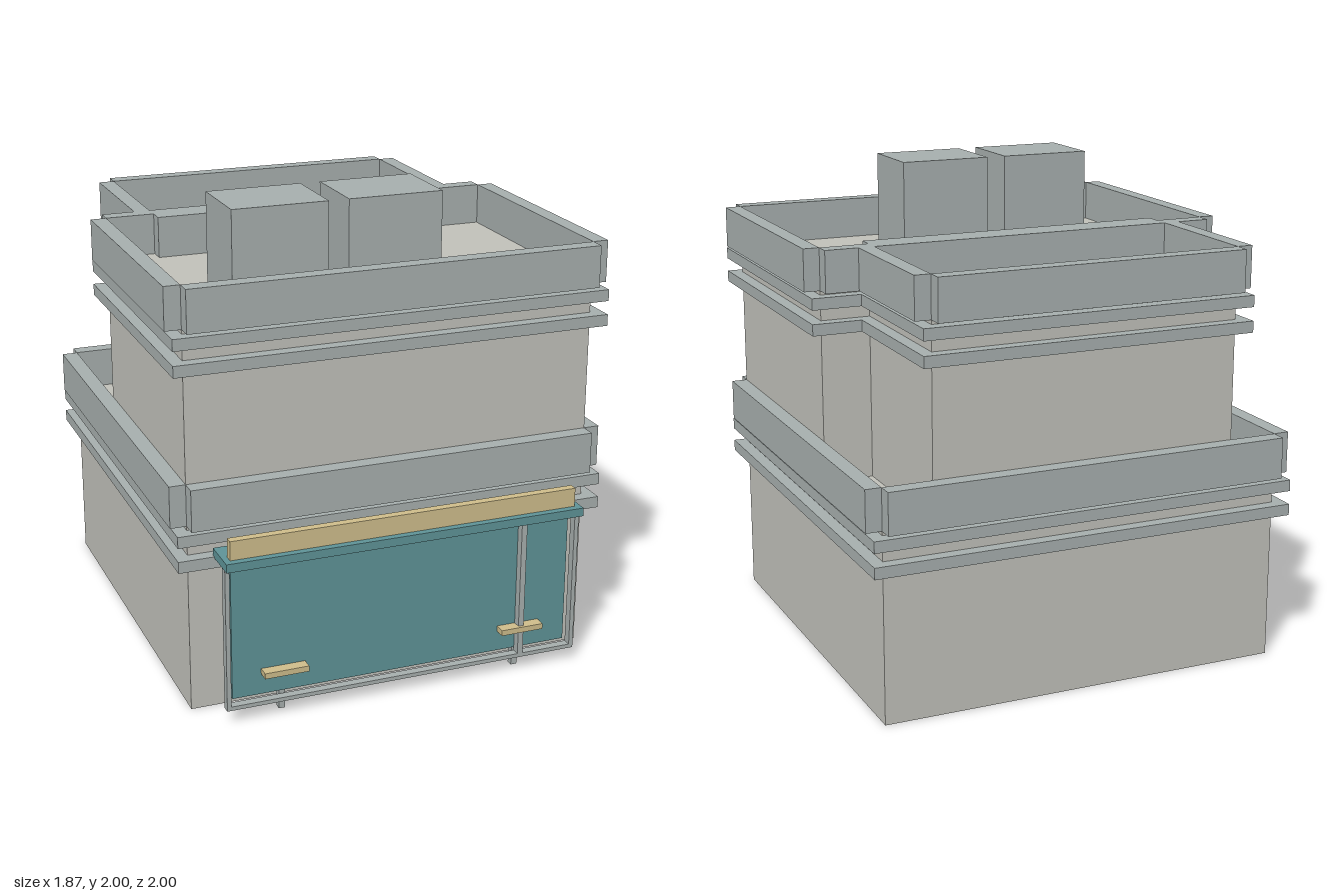
import * as THREE from 'three';

const material = (color) => new THREE.MeshStandardMaterial({ color, flatShading: true });

export function createModel() {
  const model = new THREE.Group();
  const wall = material(0xc2c2bb);
  const trim = material(0xa8b0af);
  const teal = material(0x5f9498);
  const wood = material(0xd0be8c);

  // Box given by its extents on each axis
  function block(parent, name, mat, [x0, x1], [y0, y1], [z0, z1]) {
    const mesh = new THREE.Mesh(new THREE.BoxGeometry(x1 - x0, y1 - y0, z1 - z0), mat);
    mesh.position.set((x0 + x1) / 2, (y0 + y1) / 2, (z0 + z1) / 2);
    mesh.name = name;
    parent.add(mesh);
  }

  // Building block with two ledges and a parapet that leaves its corners open
  function storey(name, w, z0, z1, base, roof) {
    const group = new THREE.Group();
    group.name = name;
    model.add(group);
    const ledge = 0.053, rim = 0.067;
    block(group, 'walls', wall, [-w, w], [base, roof], [z0, z1]);
    for (const drop of [0.17, 0.065]) {
      block(group, 'ledge', trim, [-w - ledge, w + ledge],
        [roof - drop, roof - drop + 0.048], [z0 - ledge, z1 + ledge]);
    }
    const height = [roof, roof + 0.175];
    block(group, 'frontParapet', trim, [-w, w], height, [z1, z1 + rim]);
    block(group, 'backParapet', trim, [-w, w], height, [z0 - rim, z0]);
    block(group, 'leftParapet', trim, [w, w + rim], height, [z0, z1]);
    block(group, 'rightParapet', trim, [-w - rim, -w], height, [z0, z1]);
  }
  storey('groundFloor', 0.866, -0.933, 0.798, 0, 0.8);
  storey('upperFloor', 0.866, -0.277, 0.798, 0.8, 1.6);
  storey('upperRearWing', 0.658, -0.933, -0.277, 0.8, 1.6);

  // Rooftop units
  for (const x of [-0.61, -0.128]) {
    block(model, 'roofUnit', trim, [x, x + 0.398], [1.6, 2], [0.316, 0.636]);
  }

  // Shopfront: glass, surrounding frame, door post, canopy and sign
  const shop = new THREE.Group();
  shop.name = 'shopfront';
  model.add(shop);
  const depth = [0.936, 0.972];
  block(shop, 'glass', teal, [-0.737, 0.732], [0.092, 0.657], [0.92, 0.937]);
  block(shop, 'frameRight', trim, [-0.77, -0.752], [0.06, 0.672], depth);
  block(shop, 'frameLeft', trim, [0.745, 0.763], [0.06, 0.672], depth);
  block(shop, 'frameBottom', trim, [-0.752, 0.745], [0.06, 0.077], depth);
  block(shop, 'frameTop', trim, [-0.752, 0.745], [0.66, 0.672], depth);
  block(shop, 'doorPost', trim, [0.504, 0.528], [0.077, 0.66], depth);
  block(shop, 'canopy', teal, [-0.772, 0.768], [0.672, 0.708], [0.832, 1]);
  block(shop, 'signBoard', wood, [-0.747, 0.742], [0.708, 0.788], [0.934, 0.97]);

  // Small seats on single legs
  for (const x of [-0.522, 0.516]) {
    block(shop, 'seat', wood, [x - 0.093, x + 0.093], [0.18, 0.204], [0.83, 0.985]);
    block(shop, 'seatLeg', trim, [x - 0.013, x + 0.013], [0, 0.18], [0.89, 0.918]);
  }
  return model;
}
